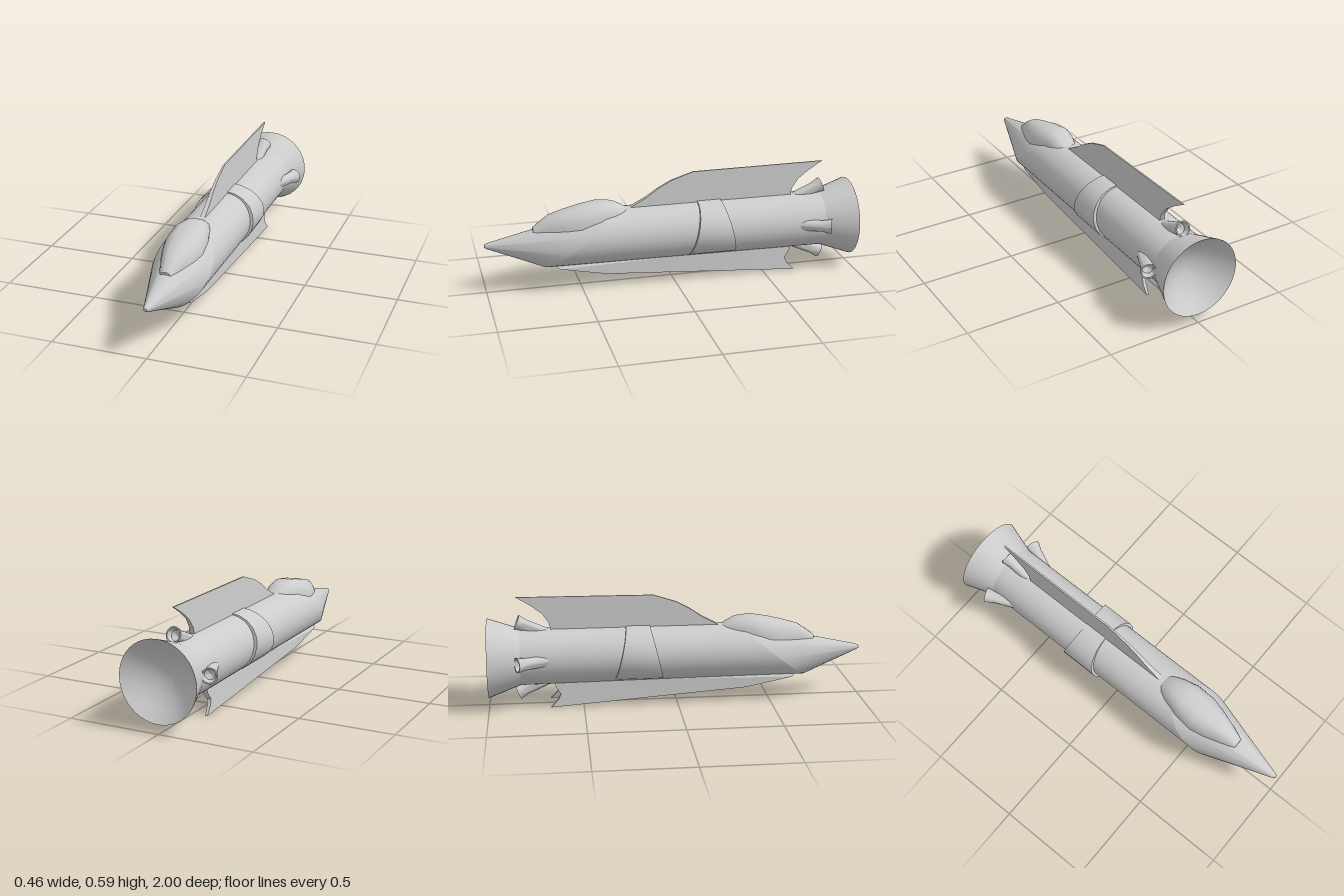
import * as THREE from 'three';
import { toCreasedNormals } from 'three/addons/utils/BufferGeometryUtils.js';

const material = new THREE.MeshStandardMaterial({ color: 0xcccccc, side: THREE.DoubleSide });

function addMesh(parent, name, geometry) {
  const mesh = new THREE.Mesh(geometry, material);
  mesh.name = name;
  parent.add(mesh);
  return mesh;
}

// Skin through equal-length rings of points, each counter-clockwise seen from +z, ordered back to front.
function loft(rings, crease, capBack = false, capFront = false) {
  const n = rings[0].length;
  const positions = [];
  const index = [];
  rings.forEach((ring) => ring.forEach((p) => positions.push(...p)));
  for (let i = 0; i < rings.length - 1; i++) {
    for (let j = 0; j < n; j++) {
      const k = (j + 1) % n;
      const a = i * n + j, b = i * n + k;
      index.push(a, b, b + n, a, b + n, a + n);
    }
  }
  const cap = (r, flip) => {
    const centre = positions.length / 3;
    const sum = rings[r].reduce((s, p) => s.map((v, i) => v + p[i] / n), [0, 0, 0]);
    positions.push(...sum);
    for (let j = 0; j < n; j++) {
      const a = r * n + j, b = r * n + (j + 1) % n;
      index.push(centre, flip ? b : a, flip ? a : b);
    }
  };
  if (capBack) cap(0, true);
  if (capFront) cap(rings.length - 1, false);
  const geometry = new THREE.BufferGeometry();
  geometry.setAttribute('position', new THREE.Float32BufferAttribute(positions, 3));
  geometry.setIndex(index);
  return toCreasedNormals(geometry, crease);
}

// Elliptical ring around the hull axis; slant shifts z with height to tilt the ring.
function ring(z, cy, rx, ry, slant = 0, sides = 40) {
  return Array.from({ length: sides }, (_, i) => {
    const a = (i / sides) * Math.PI * 2;
    const y = cy + ry * Math.sin(a);
    return [rx * Math.cos(a), y, z + slant * (y - 0.27)];
  });
}

// Plate from a side outline of (z, y) points; middle and thickness follow rules in y and z.
function plate(outline, middle, thickness) {
  const shape = new THREE.Shape(outline.map(([z, y]) => new THREE.Vector2(z, y)));
  const geometry = new THREE.ExtrudeGeometry(shape, { depth: 1, bevelEnabled: false, steps: 1 });
  const p = geometry.attributes.position;
  for (let i = 0; i < p.count; i++) {
    const z = p.getX(i), y = p.getY(i), t = p.getZ(i) - 0.5;
    p.setXYZ(i, middle(y, z) - t * thickness(y, z), y, z);
  }
  return toCreasedNormals(geometry, 0.5);
}

export function createModel() {
  const model = new THREE.Group();
  model.name = 'rocketShip';

  // Hull with a slanted front end, and the nose growing out of it
  const shoulder = ring(0.52, 0.272, 0.156, 0.144, -1.25);
  addMesh(model, 'hull', loft([ring(-0.84, 0.266, 0.155, 0.15), shoulder], 0.6));
  addMesh(model, 'noseCone', loft([
    shoulder,
    ring(0.985, 0.264, 0.016, 0.016),
    ring(1, 0.264, 0.008, 0.008),
  ], 0.6, false, true));

  // Main engine bell with a concave dish inside the rim
  const dish = [0.02, 0.25, 0.5, 0.75].map((f) => ring(-0.88 - 0.12 * f * f, 0.263, 0.211 * f, 0.211 * f));
  addMesh(model, 'engineBell', loft([
    ...dish,
    ring(-1, 0.263, 0.211, 0.211),
    ring(-0.83, 0.266, 0.155, 0.15),
  ], 0.7, true));

  // Collar band, wider below than above
  addMesh(model, 'collarBand', loft([
    ring(-0.305, 0.274, 0.173, 0.149, 0.24, 20),
    ring(-0.105, 0.274, 0.173, 0.149, -0.24, 20),
  ], 0.6, true, true));

  // Canopy: z, half width, edge height, top height
  const stations = [
    [0.24, 0.04, 0.385, 0.41],
    [0.27, 0.062, 0.375, 0.43],
    [0.32, 0.08, 0.372, 0.453],
    [0.4, 0.1, 0.365, 0.461],
    [0.5, 0.106, 0.335, 0.443],
    [0.58, 0.088, 0.322, 0.425],
    [0.66, 0.062, 0.315, 0.403],
    [0.71, 0.044, 0.31, 0.37],
    [0.745, 0.031, 0.305, 0.343],
  ];
  const half = [[1, 0], [0.97, 0.35], [0.84, 0.65], [0.62, 0.87], [0.36, 0.99]];
  addMesh(model, 'canopy', loft(stations.map(([z, w, low, high]) => {
    const right = half.map(([u, v]) => [u * w, low + v * (high - low), z]);
    const left = right.map(([x, y]) => [-x, y, z]).reverse();
    return [...right, [0, high, z], ...left, [-0.5 * w, low - 0.03, z], [0.5 * w, low - 0.03, z]];
  }), 0.8, true, true));

  // Tall dorsal fin, thinning towards the top
  addMesh(model, 'dorsalFin', plate([
    [0.27, 0.39], [0.22, 0.418], [0.14, 0.46], [0.07, 0.508], [0, 0.545], [-0.12, 0.584], [-0.845, 0.59],
    [-0.77, 0.545], [-0.71, 0.5], [-0.675, 0.45], [-0.66, 0.39],
  ], () => 0, (y) => THREE.MathUtils.mapLinear(y, 0.39, 0.59, 0.03, 0.008)));

  // Pair of ventral fins splayed outwards
  const edge = (z) => (z < 0.37 ? 0.08 - (0.37 - z) * 0.072 : 0.08 + (z - 0.37) * 0.2);
  const drop = (y, z) => THREE.MathUtils.clamp((0.15 - y) / Math.max(0.15 - edge(z), 0.01), 0, 1);
  for (const side of [1, -1]) {
    addMesh(model, side > 0 ? 'leftVentralFin' : 'rightVentralFin', plate([
      [0.64, 0.15], [0.62, 0.13], [0.5, 0.106], [0.37, 0.08], [-0.15, 0.0425], [-0.675, 0.004],
      [-0.635, 0.045], [-0.622, 0.075], [-0.65, 0.12], [-0.65, 0.15],
    ], (y, z) => side * (0.052 + 0.026 * drop(y, z)), (y, z) => 0.036 - 0.024 * drop(y, z)));
  }

  // Four hollow thrusters angled out of the hull
  const profile = [
    [0, -0.22], [0.026, -0.22], [0.03, -0.1], [0.031, -0.05], [0.036, -0.02], [0.041, 0],
    [0.034, 0], [0.027, -0.03], [0, -0.05],
  ].map(([r, y]) => new THREE.Vector2(r, y));
  const nozzle = toCreasedNormals(new THREE.LatheGeometry(profile, 20), 0.7);
  ['left', 'top', 'right', 'bottom'].forEach((name, i) => {
    const angle = (i * Math.PI) / 2;
    const out = new THREE.Vector3(Math.cos(angle), Math.sin(angle), 0);
    const mesh = addMesh(model, name + 'Thruster', nozzle);
    mesh.position.copy(out).multiplyScalar(0.192).add(new THREE.Vector3(0, i % 2 ? 0.263 : 0.276, -0.845));
    const axis = out.multiplyScalar(0.38).add(new THREE.Vector3(0, 0, -0.925)).normalize();
    mesh.quaternion.setFromUnitVectors(new THREE.Vector3(0, 1, 0), axis);
  });

  return model;
}
